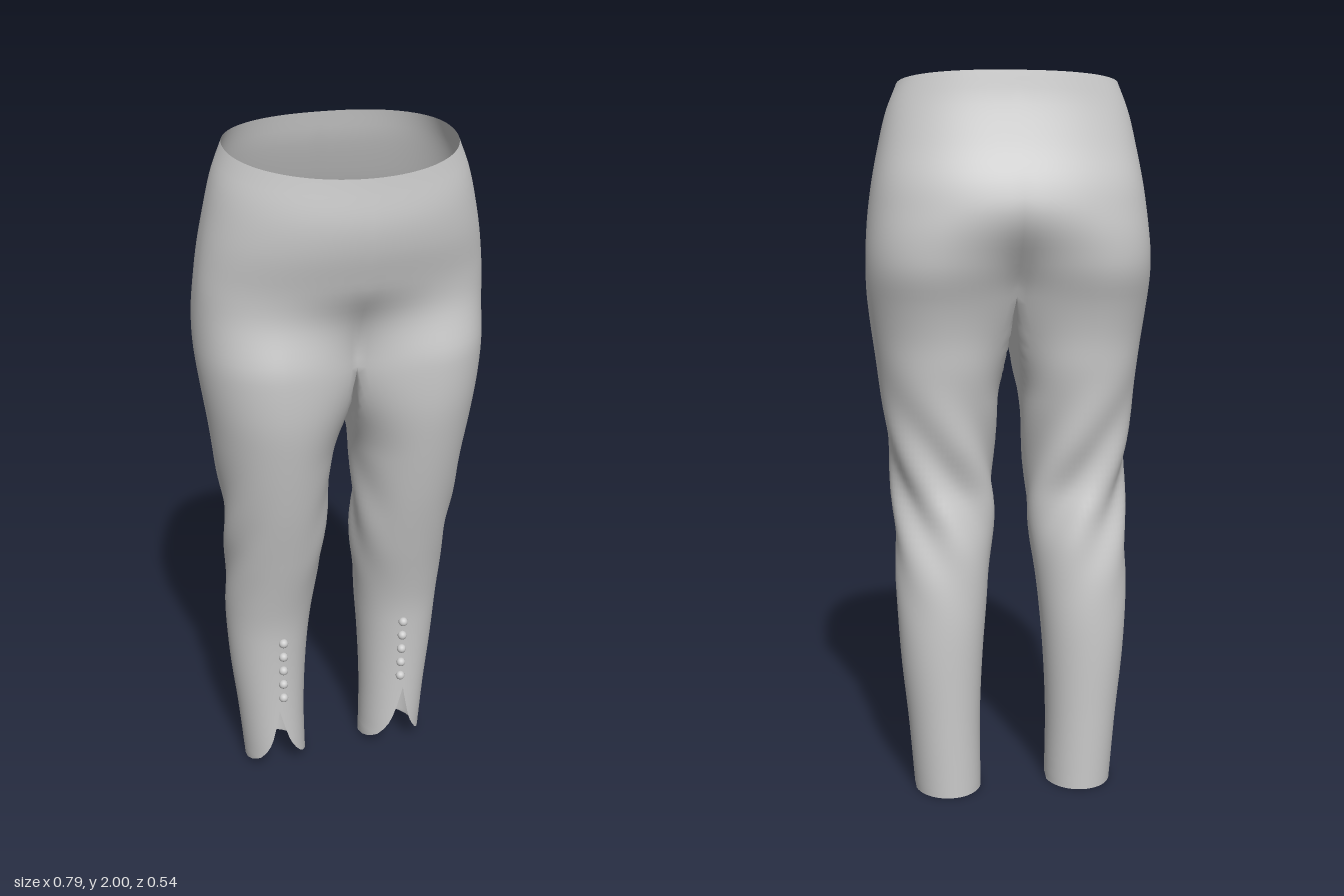
import * as THREE from 'three';
import { mergeVertices } from 'three/addons/utils/BufferGeometryUtils.js';

const N = 64;        // points around a leg
const CROTCH = 1.41; // height where the legs join
const smooth = THREE.MathUtils.smoothstep;
const lerp = THREE.MathUtils.lerp;

// Smooth curve through [height, value] pairs sorted by height
function profile(pts) {
  const slope = (i) => {
    const a = pts[Math.max(i - 1, 0)], b = pts[Math.min(i + 1, pts.length - 1)];
    return (b[1] - a[1]) / (b[0] - a[0]);
  };
  return (y) => {
    if (y <= pts[0][0]) return pts[0][1];
    if (y >= pts[pts.length - 1][0]) return pts[pts.length - 1][1];
    let i = 0;
    while (pts[i + 1][0] < y) i++;
    const [y0, v0] = pts[i], [y1, v1] = pts[i + 1], h = y1 - y0, t = (y - y0) / h;
    const s = t * t * (3 - 2 * t);
    return lerp(v0, v1, s) + h * t * (1 - t) * ((1 - t) * slope(i) - t * slope(i + 1));
  };
}

// Outer side, inner leg, front and back outlines by height
const outer = profile([[0, .284], [.2, .3], [.4, .32], [.6, .33], [.8, .33], [1, .343], [1.2, .368],
  [1.4, .393], [1.5, .396], [1.6, .39], [1.7, .377], [1.8, .358], [1.9, .334], [1.975, .304]]);
const inner = profile([[0, .095], [.2, .097], [.4, .088], [.6, .07], [.8, .049], [1, .042],
  [1.2, .022], [1.3, .012], [CROTCH, 0]]);
const front = profile([[0, .03], [.3, .035], [.5, .048], [.6, .064], [.8, .115], [1, .165], [1.2, .206],
  [1.3, .22], [1.42, .224], [1.55, .218], [1.65, .242], [1.75, .267], [1.85, .275], [1.975, .265]]);
const back = profile([[0, -.185], [.2, -.19], [.45, -.196], [.6, -.19], [.7, -.178], [.8, -.157], [.88, -.145],
  [1, -.155], [1.2, -.178], [1.3, -.188], [1.4, -.212], [1.5, -.25], [1.6, -.272], [1.7, -.257],
  [1.8, -.212], [1.9, -.175], [1.975, -.16]]);
// Half-angle of the ankle slit by height
const slit = profile([[0, 1.75], [.012, 1.4], [.025, 1.12], [.05, .72], [.1, .37], [.15, .2], [.2, .08], [.24, 0]]);

// One point of the left half; index 0 is the front of the leg, N/4 its outer side
function clothPoint(i, y) {
  let a = (i / N) * Math.PI * 2;
  if (y < .24) a += slit(y) * (1 - a / Math.PI);
  const xo = outer(y), xi = inner(y), zf = front(y), zb = back(y);
  const cx = (xo + xi) / 2, rx = (xo - xi) / 2;
  let s = Math.sin(a);
  // the inner thigh flattens against the centre towards the crotch
  if (s < 0) s = Math.max(-1, s * (1 + .4143 * smooth(y, 1.12, CROTCH)));
  // soft diagonal folds around the back of the knee
  const fold = .006 * Math.exp(-(((y - .88) / .2) ** 2)) * (1 - Math.cos(a)) * Math.sin(a * 5 + y * 22);
  let x = cx + (rx + fold) * s;
  let z = (zf + zb) / 2 + ((zf - zb) / 2 + fold) * Math.cos(a);
  let py = y;
  if (y >= CROTCH) {
    // blend from the two thighs into one rounded hip section
    const u = ((i + N / 8) / (N * .75)) * Math.PI, c = Math.cos(u), sn = Math.max(0, Math.sin(u));
    const p = c < 0 ? .85 : 1;
    const hz = .02 + (c < 0 ? .02 - zb : zf - .02) * Math.sign(c) * Math.abs(c) ** p;
    const f = smooth(y, CROTCH, 1.66);
    x = lerp(x, xo * sn ** p, f);
    z = lerp(z, hz, f);
    if (i === -N / 8 || i === N * .625) x = 0;
    py -= .15 * z * smooth(y, 1.7, 1.975); // waist dips at the front
  }
  if (i > N * .625 && i < N * .875) { // sagging crotch seam
    const m = (i - N * .625) / (N / 4);
    py -= .025 * Math.sin(m * Math.PI) * smooth(y, 1.2, CROTCH);
  }
  return [x, py, z];
}

// Adds a strip grid for both halves
function addGrid(pos, idx, i0, i1, rows) {
  for (const side of [1, -1]) {
    const base = pos.length / 3, w = i1 - i0 + 1;
    rows.forEach((y, r) => {
      for (let i = i0; i <= i1; i++) {
        const [x, py, z] = clothPoint(i, y);
        pos.push(x * side, py, z);
        if (r === 0 || i === i0) continue;
        const d = base + r * w + (i - i0), c = d - 1, b = d - w, a = b - 1;
        if (side > 0) idx.push(a, c, b, b, c, d);
        else idx.push(a, b, c, b, d, c);
      }
    });
  }
}

const steps = (from, to, n) => Array.from({ length: n + 1 }, (_, k) => lerp(from, to, k / n));

export function createModel() {
  const group = new THREE.Group();
  group.name = 'trousers';

  // Hips and legs as one smooth cloth surface
  const pos = [], idx = [];
  addGrid(pos, idx, -N / 8, N * .625, steps(1.975, CROTCH, 26));
  addGrid(pos, idx, 0, N, [...steps(CROTCH, .24, 56),
    .22, .2, .175, .15, .125, .1, .075, .05, .037, .025, .012, 0]);
  let cloth = new THREE.BufferGeometry();
  cloth.setAttribute('position', new THREE.Float32BufferAttribute(pos, 3));
  cloth.setIndex(idx);
  cloth = mergeVertices(cloth, 1e-4);
  cloth.computeVertexNormals();
  const fabric = new THREE.Mesh(cloth,
    new THREE.MeshStandardMaterial({ color: 0xcccccc, side: THREE.DoubleSide }));
  fabric.name = 'trouserFabric';
  group.add(fabric);

  // Rows of round buttons above the ankle slits
  const buttonGeo = new THREE.SphereGeometry(.014, 16, 12);
  const buttonMat = new THREE.MeshStandardMaterial({ color: 0xcccccc });
  for (const side of [1, -1]) {
    const row = new THREE.Group();
    row.name = side > 0 ? 'leftButtons' : 'rightButtons';
    for (let k = 0; k < 5; k++) {
      const y = .292 + k * .052;
      const button = new THREE.Mesh(buttonGeo, buttonMat);
      button.name = 'button';
      button.position.set(side * .188, y, front(y) + .003);
      row.add(button);
    }
    group.add(row);
  }
  return group;
}
